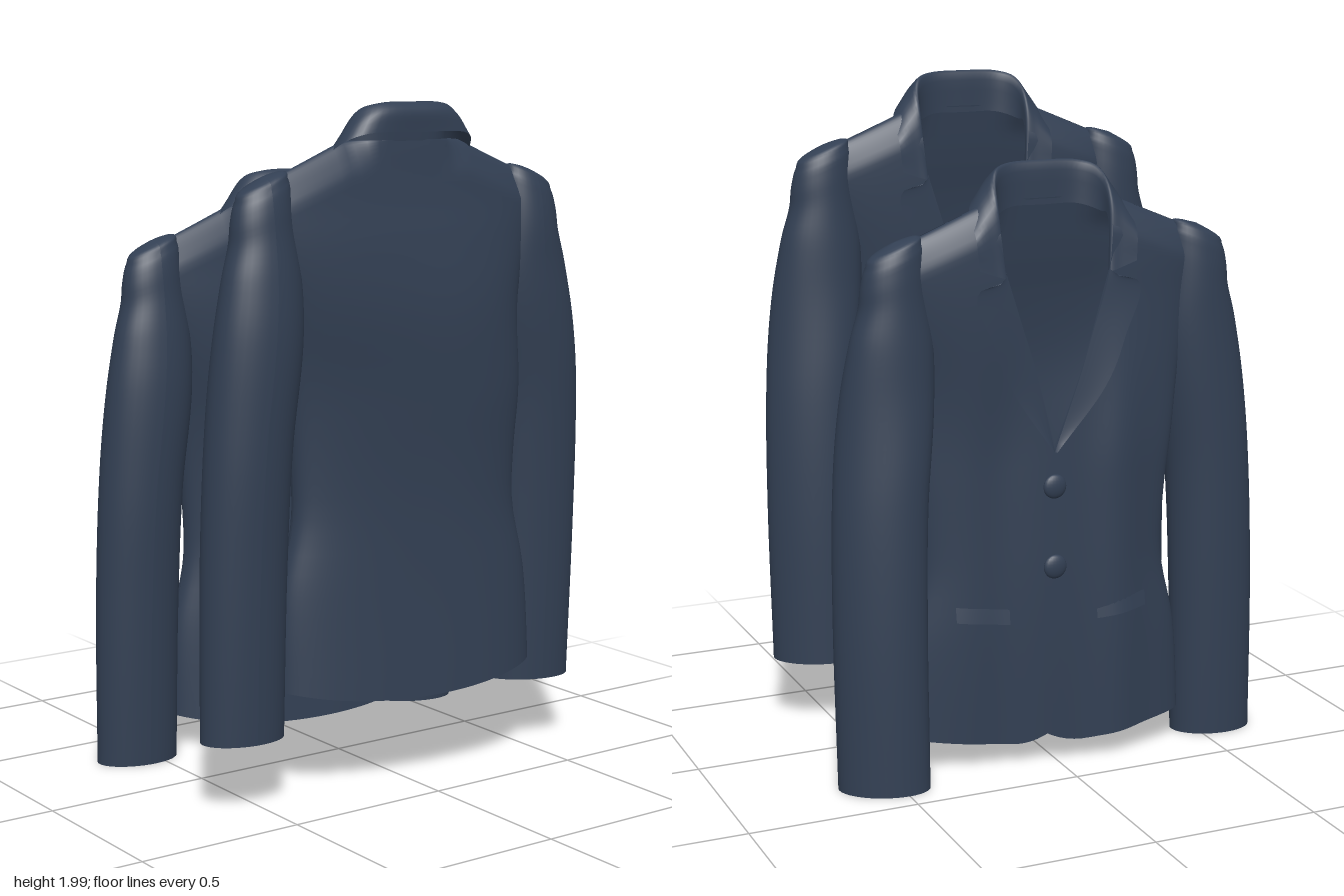
import * as THREE from 'three';

const { smoothstep, lerp, clamp } = THREE.MathUtils;

// Smooth lookup: rows of [key, value, value...]
function table(rows) {
  const size = rows[0].length - 1;
  const it = new THREE.CubicInterpolant(
    new Float32Array(rows.map((r) => r[0])),
    new Float32Array(rows.flatMap((r) => r.slice(1))), size);
  return (t) => Array.from(it.evaluate(t));
}

// Surface from a rule giving [x, y, z] for u, v in 0..1
function grid(nu, nv, rule) {
  const pos = [], idx = [];
  for (let i = 0; i <= nu; i++)
    for (let j = 0; j <= nv; j++) pos.push(...rule(i / nu, j / nv));
  for (let i = 0; i < nu; i++)
    for (let j = 0; j < nv; j++) {
      const a = i * (nv + 1) + j, b = a + nv + 1;
      idx.push(a, b, a + 1, b, b + 1, a + 1);
    }
  const g = new THREE.BufferGeometry();
  g.setAttribute('position', new THREE.Float32BufferAttribute(pos, 3));
  g.setIndex(idx);
  g.computeVertexNormals();
  return g;
}

// Torso by height: half width, back depth, front depth
const bodyAt = table([
  [0.05, 0.435, 0.133, -0.075], [0.4, 0.413, 0.109, -0.078], [0.6, 0.372, 0.1, -0.077],
  [0.75, 0.374, 0.1, -0.074], [0.95, 0.393, 0.107, -0.07], [1.2, 0.413, 0.113, -0.066],
  [1.4, 0.465, 0.092, -0.06], [1.5, 0.5, 0.074, -0.057], [1.68, 0.5, 0.05, -0.047],
]);
const SHOULDER = 0.5;
const halfWidth = (y) => Math.min(SHOULDER, bodyAt(y)[0]);
const shoulderY = (z) => 1.68 - 0.14 * clamp((Math.abs(z) - 0.2) / 0.34, 0, 1);
const neckZ = (y) => clamp((y - 0.98) / 0.52, 0, 1) * 0.165 + clamp((y - 1.5) / 0.16, 0, 1) * 0.015;
const bump = (z, centre) => Math.exp(-Math.pow((z - centre) / 0.08, 2));

// Point on the cloth; side is 1 for the back, 2 for the front, gap the drop below the shoulder
function onCloth(side, y, z, gap = 1, lift = 0) {
  const s = Math.min(1, Math.abs(z) / halfWidth(y));
  const round = Math.pow(1 - Math.pow(s, lerp(2.6, 3.6, smoothstep(y, 1, 1.45))), 1 / 2.2);
  const low = 1 - smoothstep(y, 0.9, 1.45);
  // the hanging lower body is turned, with one fold out and one in at the front
  const twist = -0.09 * z * low;
  const fold = side === 2 ? low * (0.012 * bump(z, -0.15) - 0.022 * bump(z, 0.2)) : 0;
  const fade = Math.sqrt(clamp(gap / 0.09, 0, 1));
  const close = side === 1 ? lerp(1, fade, smoothstep(Math.abs(z), 0.12, 0.18)) : fade;
  const x = 0.006 + (bodyAt(y)[side] - 0.006) * round * close + twist + fold;
  return [x - lift, y, z - 0.02 * (1 - smoothstep(y, 0.85, 1.25))];
}

function backPanel() {
  return grid(44, 40, (u, v) => {
    const a = Math.sin((u - 0.5) * Math.PI);
    const top = shoulderY(a * SHOULDER), hem = 0.065 + 0.05 * a * a;
    const y = lerp(hem, top, Math.sin(v * Math.PI / 2));
    return onCloth(1, y, a * halfWidth(y), top - y);
  });
}

function frontPanel(sign) {
  return grid(30, 48, (u, v) => {
    const a = Math.sin(u * Math.PI / 2);
    const top = shoulderY(lerp(0.18, SHOULDER, a));
    const hem = 0.06 + 0.055 * a + 0.05 * Math.pow(1 - Math.min(1, a / 0.3), 2);
    const y = lerp(hem, top, Math.sin(v * Math.PI / 2));
    // one panel laps over the other at the closure
    const lap = sign > 0 ? 0.03 * (1 - smoothstep(y, 0.85, 1.0)) : 0;
    const z = sign * lerp(neckZ(y) - lap, halfWidth(y), a);
    return onCloth(2, y, z, top - y, sign > 0 ? 0.008 * (1 - a) * (1 - v) : 0);
  });
}

// Sleeve rows: height, centre x, radius x, centre z, radius z
const sleeveCap = [
  [1.42, 0.01, 0.073, 0.479, 0.099], [1.5, 0.008, 0.064, 0.479, 0.092],
  [1.55, 0.006, 0.052, 0.476, 0.081], [1.576, 0.006, 0.034, 0.474, 0.06], [1.586, 0.006, 0, 0.474, 0],
];
const sleeveRows = {
  1: [[0, 0.012, 0.08, 0.555, 0.124], [0.5, 0.016, 0.088, 0.548, 0.127],
    [0.85, 0.022, 0.094, 0.533, 0.128], [1.15, 0.024, 0.094, 0.5, 0.133],
    [1.3, 0.018, 0.085, 0.485, 0.121], ...sleeveCap],
  '-1': [[0, -0.054, 0.084, 0.545, 0.127], [0.5, -0.038, 0.087, 0.545, 0.129],
    [0.85, -0.02, 0.087, 0.533, 0.13], [1.15, 0, 0.084, 0.502, 0.132],
    [1.3, 0.005, 0.08, 0.486, 0.121], ...sleeveCap],
};

function sleeve(sign) {
  const at = table(sleeveRows[sign]);
  const skew = sign > 0 ? -0.1 : 0.25;
  return grid(36, 52, (u, v) => {
    const h = 1.586 * Math.sin(v * Math.PI / 2);
    const [cx, rx, cz, rz] = at(h), t = u * Math.PI * 2;
    const out = rz * Math.sin(t);
    // the cap slopes with the shoulder
    const y = h + 0.008 * (1 - v) - 0.41 * out * smoothstep(h, 1.3, 1.54);
    const x = cx + rx * Math.cos(t) + skew * out * (1 - smoothstep(h, 0.9, 1.45));
    return [x, y, sign * (cz + out)];
  });
}

// Lapel rows: t, inner z, inner y, outer z, outer y
const lapelAt = table([
  [0, 0, 0.96, 0.004, 0.96], [0.3, 0.05, 1.13, 0.13, 1.13], [0.6, 0.1, 1.29, 0.2, 1.28],
  [0.9, 0.148, 1.43, 0.25, 1.44], [1, 0.16, 1.48, 0.185, 1.46],
]);
function lapel(sign) {
  return grid(24, 8, (u, v) => {
    const [zi, yi, zo, yo] = lapelAt(u);
    return onCloth(2, lerp(yi, yo, v), sign * lerp(zi, zo, v), 1, 0.006 + 0.008 * v);
  });
}

// Folded collar: stand, fold and outer edge at each station from front to centre back
const collarHalf = [
  [-0.052, 1.46, 0.16, -0.062, 1.47, 0.162, -0.066, 1.5, 0.245],
  [-0.028, 1.62, 0.17, -0.036, 1.66, 0.176, -0.05, 1.59, 0.25],
  [0.01, 1.64, 0.16, 0.014, 1.755, 0.165, 0.026, 1.66, 0.24],
  [0.045, 1.66, 0.1, 0.052, 1.783, 0.11, 0.086, 1.7, 0.17],
  [0.05, 1.66, 0, 0.058, 1.787, 0, 0.092, 1.702, 0],
];
function collar() {
  const other = collarHalf.slice(0, 4).reverse().map((r) => r.map((n, i) => (i % 3 === 2 ? -n : n)));
  const at = table([...collarHalf, ...other].map((r, i) => [i / 8, ...r]));
  return grid(48, 14, (u, v) => {
    const p = at(u);
    const [stand, fold, edge] = [0, 3, 6].map((i) => new THREE.Vector3(p[i], p[i + 1], p[i + 2]));
    // the turned-down leaf bulges away from the neck at the back
    const leaf = fold.clone().lerp(edge, 0.4);
    const back = Math.pow(Math.sin(Math.PI * u), 2);
    leaf.x += 0.016 * back * back;
    leaf.y += 0.012 * back;
    return new THREE.CatmullRomCurve3([stand, fold, leaf, edge]).getPoint(v).toArray();
  });
}

function pocketFlap(sign) {
  return grid(10, 4, (u, v) =>
    onCloth(2, 0.45 + 0.045 * v + 0.02 * u, sign * lerp(0.13, 0.29, u), 1, 0.002 + 0.006 * (1 - v)));
}

function createJacket(cloth) {
  const jacket = new THREE.Group();
  const add = (name, geometry) => {
    const m = new THREE.Mesh(geometry, cloth);
    m.name = name;
    jacket.add(m);
    return m;
  };
  add('backPanel', backPanel());
  add('collar', collar());
  for (const sign of [1, -1]) {
    const side = sign > 0 ? 'left' : 'right';
    add(side + 'FrontPanel', frontPanel(sign));
    add(side + 'Sleeve', sleeve(sign));
    add(side + 'Lapel', lapel(sign));
    add(side + 'PocketFlap', pocketFlap(sign));
  }
  // Two domed buttons on the closure
  for (const y of [0.86, 0.62]) {
    const b = add('button', new THREE.SphereGeometry(0.036, 20, 12));
    b.scale.x = 0.4;
    b.position.set(...onCloth(2, y, 0, 1, 0.012));
  }
  return jacket;
}

export function createModel() {
  const cloth = new THREE.MeshStandardMaterial({ color: 0x323f53, side: THREE.DoubleSide });
  cloth.name = 'navy cloth';

  const model = new THREE.Group();
  model.name = 'jacketPair';
  // Two jackets hanging one behind the other, the second one higher
  [['frontJacket', -0.295, 0], ['rearJacket', 0.295, 0.21]].forEach(([name, x, y]) => {
    const jacket = createJacket(cloth);
    jacket.name = name;
    jacket.position.set(x, y, 0);
    model.add(jacket);
  });
  return model;
}
